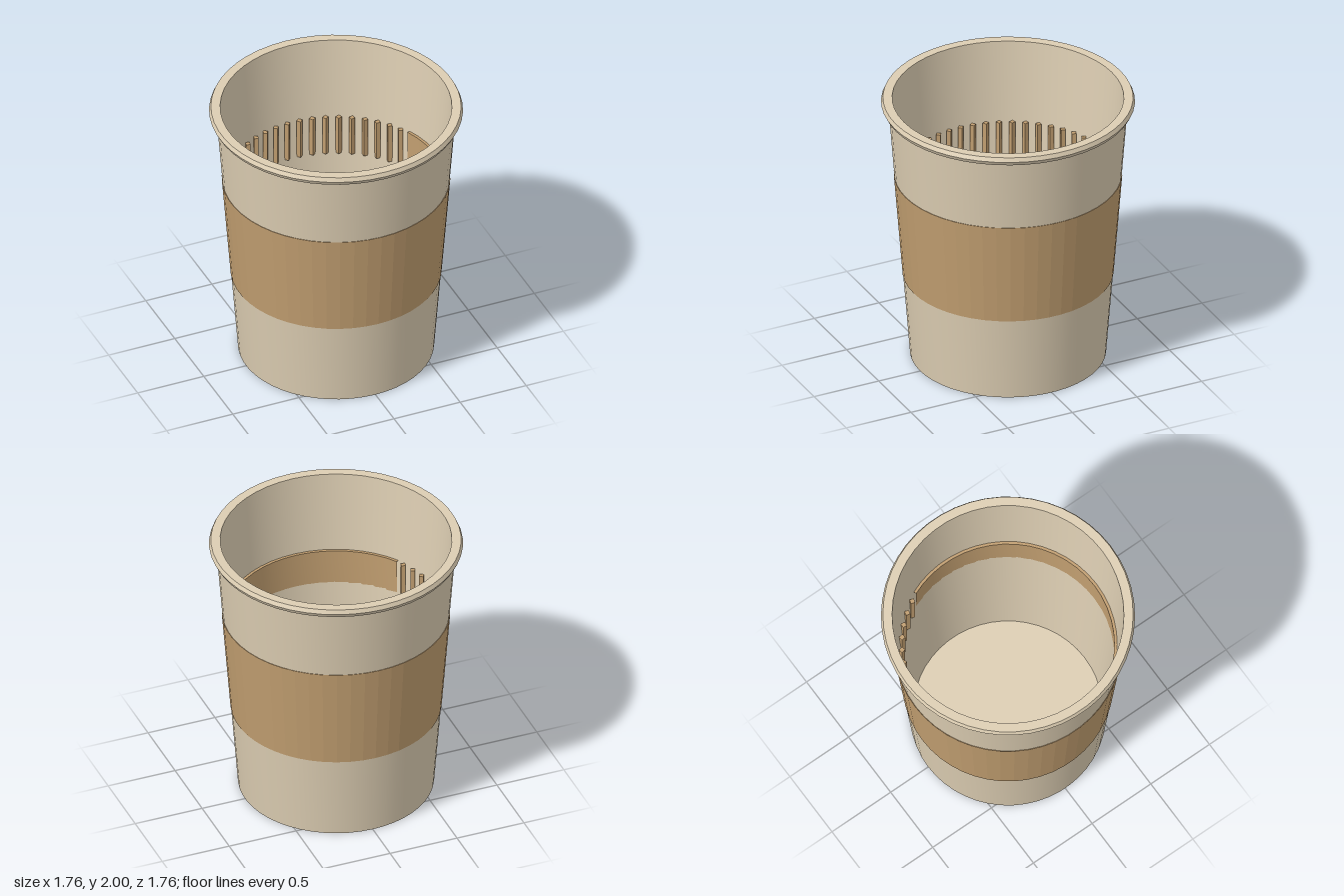
import * as THREE from 'three';
import { toCreasedNormals } from 'three/addons/utils/BufferGeometryUtils.js';

const SEGMENTS = 50;
const deg = THREE.MathUtils.degToRad;

// Revolve a list of [radius, height] pairs around the y axis
function revolve(points, start = 0, sweep = Math.PI * 2, segments = SEGMENTS) {
  return new THREE.LatheGeometry(points.map(([r, y]) => new THREE.Vector2(r, y)), segments, start, sweep);
}

export function createModel() {
  const paper = new THREE.MeshStandardMaterial({ color: 0xdccdb2 });
  paper.name = 'cream paper';
  const card = new THREE.MeshStandardMaterial({ color: 0xc19e70, side: THREE.DoubleSide });
  card.name = 'brown cardboard';

  const group = new THREE.Group();
  group.name = 'paperCup';
  const add = (name, geometry, material, parent = group) => {
    const mesh = new THREE.Mesh(geometry, material);
    mesh.name = name;
    parent.add(mesh);
    return mesh;
  };

  // Cup: recessed base, tapered wall, rolled rim, inner wall and floor
  const cup = revolve([
    [0, 0.03], [0.6, 0.03], [0.6, 0], [0.68, 0],
    [0.83, 1.94], [0.865, 1.94], [0.88, 1.97], [0.867, 2],
    [0.803, 2], [0.655, 0.07], [0, 0.07],
  ]);
  add('cup', toCreasedNormals(cup, 0.4), paper);

  // Sleeve: faceted band hugging the outside of the wall
  const sleeve = revolve([[0.718, 0.63], [0.732, 0.63], [0.792, 1.4], [0.778, 1.4]]);
  add('sleeve', toCreasedNormals(sleeve, 0.05), card);

  // Sleeve lining that shows through the inner wall over nearly half the turn
  const lining = revolve([[0.757, 1.1], [0.757, 1.4], [0.737, 1.4], [0.737, 1.1]], deg(-57), deg(171), 24);
  add('sleeveLining', toCreasedNormals(lining, 0.4), card);

  // Upright flutes of the sleeve that show through the rest of the inner wall
  const flutes = new THREE.Group();
  flutes.name = 'sleeveFlutes';
  group.add(flutes);
  const fluteShape = toCreasedNormals(new THREE.CylinderGeometry(0.022, 0.022, 0.3, 4), 0.4);
  for (let i = -4; i <= 21; i++) {
    const angle = deg(180 + i * 360 / SEGMENTS);
    const flute = add('flute', fluteShape, card, flutes);
    flute.position.set(Math.cos(angle) * 0.735, 1.25, Math.sin(angle) * 0.735);
    flute.rotation.y = -angle;
  }

  return group;
}
